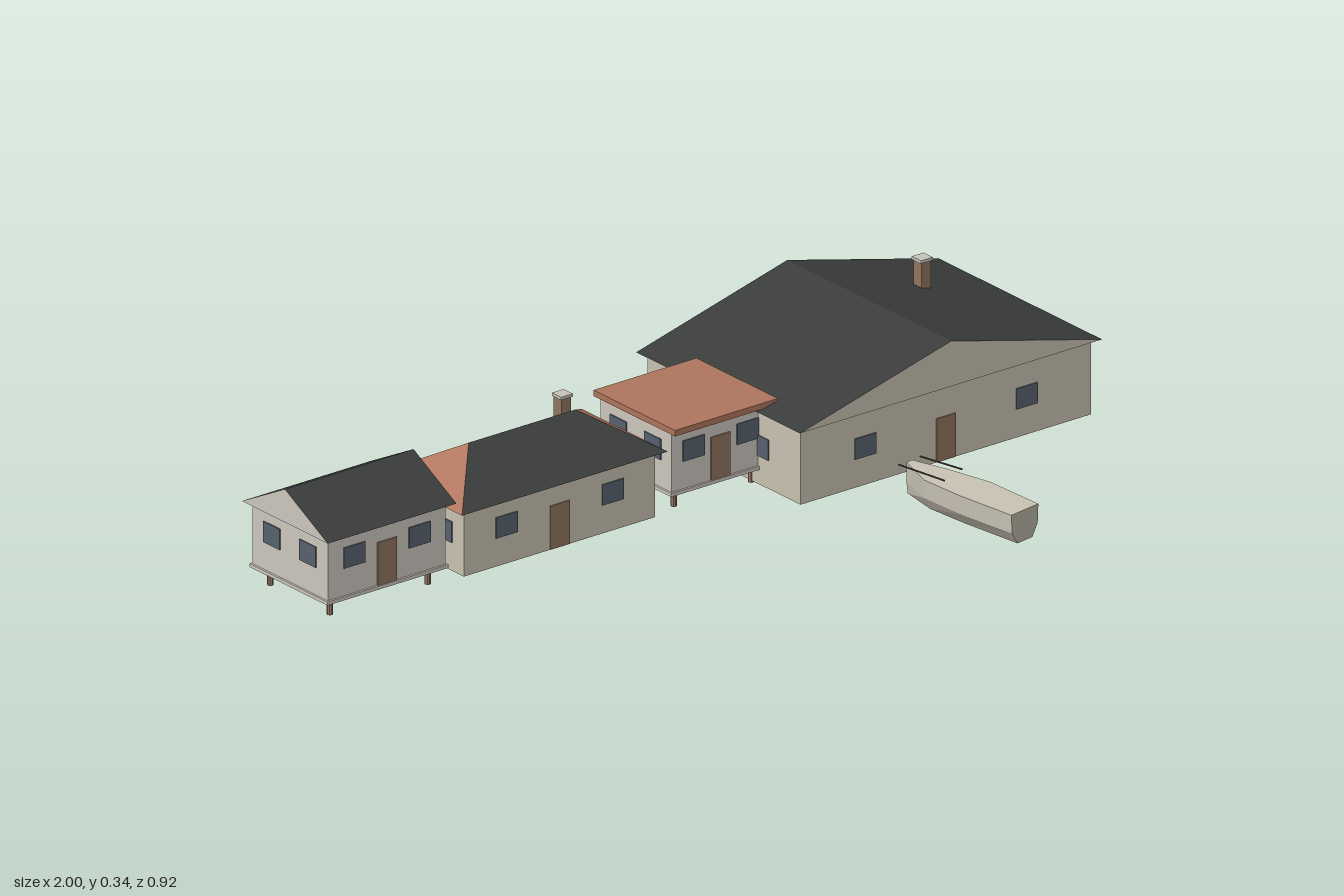
import * as THREE from 'three';

const mat = (name, color, double = false) => {
  const m = new THREE.MeshStandardMaterial({ color, flatShading: true });
  m.name = name;
  if (double) m.side = THREE.DoubleSide;
  return m;
};

export function createModel() {
  const wall = mat('plaster', 0xcbc4b4);
  const paleWall = mat('pale plaster', 0xcfc9c0);
  const dark = mat('dark roofing', 0x3b3c3c);
  const tile = mat('terracotta', 0xb0775e);
  const wood = mat('brown wood', 0x927760);
  const glass = mat('window glass', 0x59636f);
  const hullPaint = mat('hull paint', 0xcbc5b6, true);
  const capStone = mat('cap stone', 0xc8c5bc);
  const oarWood = mat('dark oar wood', 0x4a4540);

  const model = new THREE.Group();
  model.name = 'village';

  const add = (parent, name, geometry, material) => {
    const mesh = new THREE.Mesh(geometry, material);
    mesh.name = name;
    parent.add(mesh);
    return mesh;
  };

  // Box given by its minimum and maximum on each axis
  const box = (parent, name, material, [x0, x1], [y0, y1], [z0, z1]) => {
    const mesh = add(parent, name, new THREE.BoxGeometry(x1 - x0, y1 - y0, z1 - z0), material);
    mesh.position.set((x0 + x1) / 2, (y0 + y1) / 2, (z0 + z1) / 2);
    return mesh;
  };

  // Triangular roof prism with plastered ends; the ridge runs along z, or along x
  const gableRoof = (parent, [x0, x1], [y0, y1], [z0, z1], alongX, endMat) => {
    const width = alongX ? z1 - z0 : x1 - x0;
    const depth = alongX ? x1 - x0 : z1 - z0;
    const shape = new THREE.Shape([
      new THREE.Vector2(-width / 2, 0),
      new THREE.Vector2(width / 2, 0),
      new THREE.Vector2(0, y1 - y0),
    ]);
    const geo = new THREE.ExtrudeGeometry(shape, { depth, bevelEnabled: false });
    geo.translate(0, 0, -depth / 2);
    if (alongX) geo.rotateY(Math.PI / 2);
    const roof = add(parent, 'gableRoof', geo, [endMat, dark]);
    roof.position.set((x0 + x1) / 2, y0, (z0 + z1) / 2);
  };

  // Hip roof: dark long slopes and underside, terracotta hips
  const hipRoof = (parent, [x0, x1], [y0, y1], [z0, z1], [r0, r1]) => {
    const zm = (z0 + z1) / 2;
    const a = [x0, y0, z1], b = [x1, y0, z1], c = [x1, y0, z0], d = [x0, y0, z0];
    const e = [r0, y1, zm], f = [r1, y1, zm];
    const faces = [a, b, f, a, f, e, c, d, e, c, e, f, a, d, c, a, c, b, d, a, e, b, c, f];
    const geo = new THREE.BufferGeometry();
    geo.setAttribute('position', new THREE.Float32BufferAttribute(faces.flat(), 3));
    geo.addGroup(0, 18, 0);
    geo.addGroup(18, 6, 1);
    geo.computeVertexNormals();
    add(parent, 'hipRoof', geo, [dark, tile]);
  };

  const chimney = (parent, x, z, y0, y1) => {
    const span = (c, h) => [c - h, c + h];
    box(parent, 'chimney', wood, span(x, 0.013), [y0, y1 - 0.007], span(z, 0.013));
    box(parent, 'chimneyCap', capStone, span(x, 0.016), [y1 - 0.007, y1], span(z, 0.016));
  };

  // Walls, front door, two front windows and two windows on the right side
  const house = (name, material, X, Y, Z, stilts) => {
    const group = new THREE.Group();
    group.name = name;
    model.add(group);
    const [x0, x1] = X, [z0, z1] = Z, y = Y[0];
    const cx = (x0 + x1) / 2, cz = (z0 + z1) / 2;
    const t = 0.003;
    box(group, 'walls', material, X, Y, Z);
    box(group, 'door', wood, [cx - 0.026, cx + 0.026], [y + 0.001, y + 0.102], [z1 - t, z1 + t]);
    for (const s of [-1, 1]) {
      const wx = cx + s * (x1 - x0) * 0.278, wz = cz + s * (z1 - z0) * 0.24;
      const wy = [y + 0.066, y + 0.114];
      box(group, 'frontWindow', glass, [wx - 0.029, wx + 0.029], wy, [z1 - t, z1 + t]);
      box(group, 'sideWindow', glass, [x0 - t, x0 + t], wy, [wz - 0.028, wz + 0.028]);
    }
    if (stilts) {
      box(group, 'floorSlab', material, [x0 - 0.005, x1 + 0.005], [y - 0.006, y + 0.002], [z0 - 0.005, z1 + 0.005]);
      for (const sx of [x0 + 0.027, x1 - 0.027]) {
        for (const sz of [z0 + 0.027, z1 - 0.027]) {
          const post = add(group, 'stilt', new THREE.CylinderGeometry(0.007, 0.007, 0.042, 8), wood);
          post.position.set(sx, y - 0.024, sz);
        }
      }
    }
    return group;
  };

  // Small stilt house with a gable roof
  const cabin = house('stiltCabin', paleWall, [-0.985, -0.665], [0.085, 0.232], [-0.315, -0.057], true);
  gableRoof(cabin, [-1, -0.65], [0.23, 0.307], [-0.333, -0.038], true, paleWall);

  // Hip-roofed house
  const cottage = house('hipRoofHouse', wall, [-0.615, -0.095], [0.045, 0.2], [-0.315, -0.057], false);
  hipRoof(cottage, [-0.635, -0.075], [0.198, 0.282], [-0.333, -0.038], [-0.5, -0.21]);
  chimney(cottage, -0.21, -0.23, 0.22, 0.305);

  // Flat-roofed stilt house
  const annex = house('flatRoofHouse', paleWall, [-0.045, 0.22], [0.085, 0.225], [-0.307, -0.063], true);
  box(annex, 'flatRoof', tile, [-0.05, 0.23], [0.224, 0.238], [-0.325, -0.045]);

  // Large hall
  const hall = house('hall', wall, [0.19, 0.98], [0.045, 0.222], [-0.442, 0.083], false);
  gableRoof(hall, [0.175, 0.997], [0.22, 0.325], [-0.462, 0.1], false, wall);
  chimney(hall, 0.805, -0.275, 0.25, 0.337);

  // Boat hull lofted through sections: centre x, z, half width, keel y, chine y, deck y
  const boat = new THREE.Group();
  boat.name = 'boat';
  model.add(boat);
  const sections = [
    [0.508, 0.452, 0.042, 0.002, 0.03, 0.073],
    [0.489, 0.305, 0.049, 0.004, 0.033, 0.077],
    [0.468, 0.2, 0.039, 0.008, 0.037, 0.08],
    [0.455, 0.122, 0.009, 0.016, 0.042, 0.089],
  ].map(([x, z, w, keel, chine, deck]) =>
    [[-1, deck], [-0.95, chine], [-0.55, keel], [0.55, keel], [0.95, chine], [1, deck]]
      .map(([k, y]) => [x + k * w, y, z - k * w * 0.16]));
  const tris = [];
  for (let i = 0; i < sections.length - 1; i++) {
    const p = sections[i], q = sections[i + 1];
    for (let j = 0; j < 6; j++) {
      const k = (j + 1) % 6;
      tris.push(p[j], q[j], q[k], p[j], q[k], p[k]);
    }
  }
  const stern = sections[0], bow = sections[sections.length - 1];
  for (let j = 1; j < 5; j++) {
    tris.push(stern[0], stern[j], stern[j + 1], bow[0], bow[j + 1], bow[j]);
  }
  const hullGeo = new THREE.BufferGeometry();
  hullGeo.setAttribute('position', new THREE.Float32BufferAttribute(tris.flat(), 3));
  hullGeo.computeVertexNormals();
  add(boat, 'hull', hullGeo, hullPaint);

  // Two thin oars lying level beside the bow
  for (const [x0, z0, x1, z1] of [[0.421, 0.128, 0.444, 0.26], [0.485, 0.122, 0.512, 0.235]]) {
    const path = new THREE.LineCurve3(new THREE.Vector3(x0, 0.092, z0), new THREE.Vector3(x1, 0.092, z1));
    add(boat, 'oar', new THREE.TubeGeometry(path, 1, 0.0022, 6), oarWood);
  }

  return model;
}
